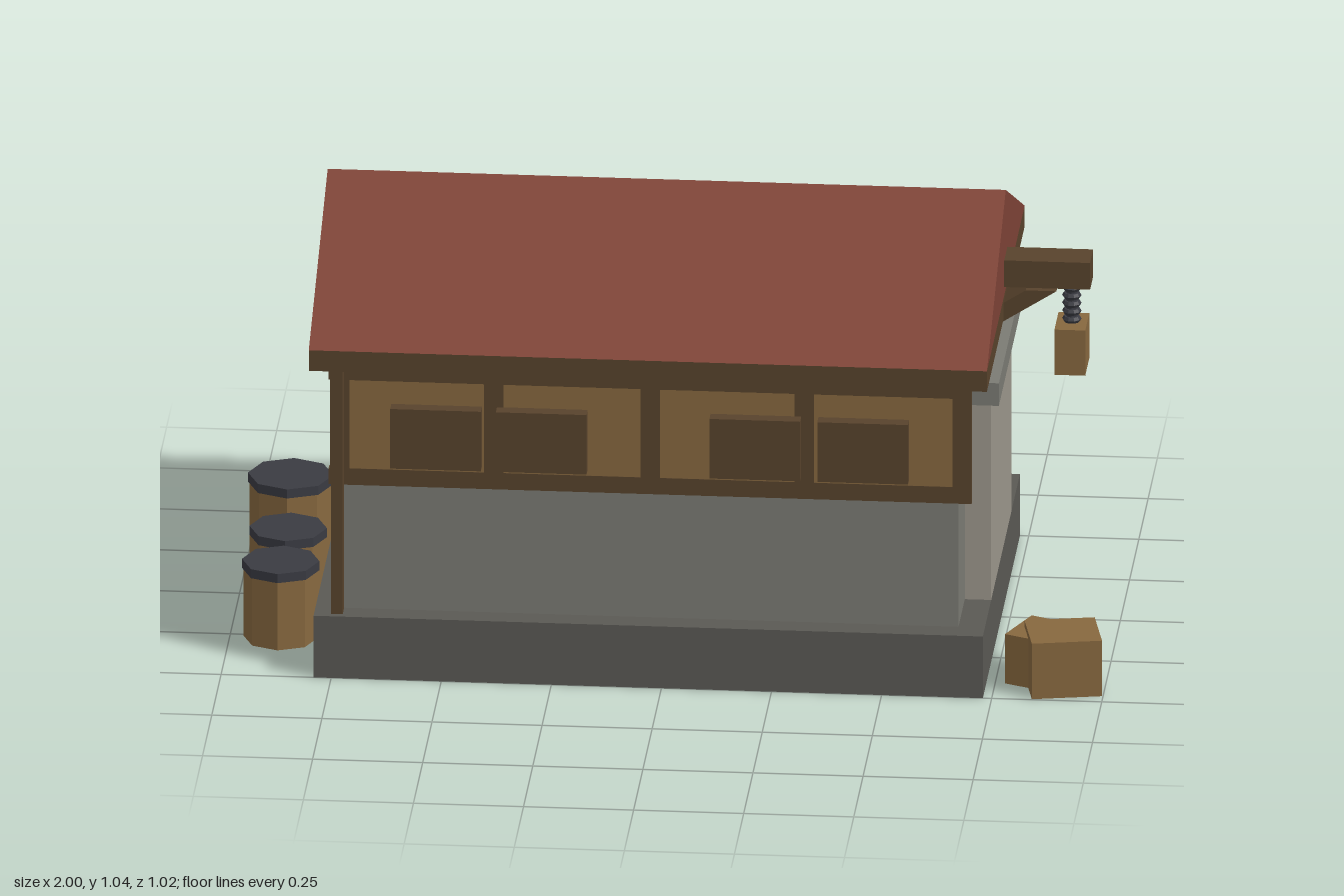
import * as THREE from 'three';

const mat = (color) => new THREE.MeshStandardMaterial({ color, flatShading: true });

export function createModel() {
  const model = new THREE.Group();
  const M = {
    base: mat(0x5a5954), stone: mat(0x7b7b74), door: mat(0x9c978c),
    plank: mat(0x87683f), timber: mat(0x58432c), roof: mat(0x7e4336), iron: mat(0x3a3b42),
  };

  const add = (name, geometry, material, parent = model) => {
    const mesh = new THREE.Mesh(geometry, material);
    mesh.name = name;
    parent.add(mesh);
    return mesh;
  };
  // Box given by its minimum and maximum on each axis
  const box = (name, material, [x0, x1], [y0, y1], [z0, z1], parent) => {
    const mesh = add(name, new THREE.BoxGeometry(x1 - x0, y1 - y0, z1 - z0), material, parent);
    mesh.position.set((x0 + x1) / 2, (y0 + y1) / 2, (z0 + z1) / 2);
    return mesh;
  };

  // Plinth and the two storeys of wall
  box('plinth', M.base, [-0.79, 0.73], [0, 0.15], [-0.5, 0.5]);
  box('lowerWall', M.stone, [-0.73, 0.67], [0.15, 0.45], [-0.445, 0.445]);
  box('upperWall', M.plank, [-0.73, 0.68], [0.45, 0.75], [-0.445, 0.445]);

  // Framing and shutters on both long sides
  for (const side of [1, -1]) {
    const frame = new THREE.Group();
    frame.name = side > 0 ? 'frontFrame' : 'backFrame';
    model.add(frame);
    const span = (a, b) => (side > 0 ? [a, b] : [-b, -a]);
    const depth = span(0.43, 0.446);
    box('bottomRail', M.timber, [-0.76, 0.7], [0.45, 0.49], depth, frame);
    box('topRail', M.timber, [-0.76, 0.7], [0.705, 0.75], depth, frame);
    for (const x of [-0.735, -0.385, -0.03, 0.32, 0.678]) {
      box('stud', M.timber, [x - 0.022, x + 0.022], [0.49, 0.705], depth, frame);
    }
    for (const x of [-0.515, -0.275, 0.21, 0.455]) {
      box('shutter', M.timber, [x - 0.103, x + 0.103], [0.505, 0.65], span(0.445, 0.477), frame);
    }
  }

  // Full-height posts at the closed end
  for (const z of [-0.458, 0, 0.458]) {
    box('endPost', M.timber, [-0.752, -0.725], [0.15, 0.75], [z - 0.027, z + 0.027]);
  }

  // Big doorway with its lintel
  box('door', M.door, [0.66, 0.73], [0.15, 0.635], [-0.275, 0.275]);
  box('lintel', M.stone, [0.66, 0.75], [0.635, 0.69], [-0.305, 0.305]);

  // Eaves slab and solid gabled roof
  box('eaves', M.timber, [-0.8, 0.74], [0.75, 0.8], [-0.51, 0.51]);
  const gable = new THREE.Shape([
    new THREE.Vector2(-0.51, 0.8), new THREE.Vector2(0.51, 0.8), new THREE.Vector2(0, 1.04),
  ]);
  const roof = add('roof', new THREE.ExtrudeGeometry(gable, { depth: 1.54, bevelEnabled: false }), M.roof);
  roof.rotation.y = Math.PI / 2;
  roof.position.x = -0.8;

  // Hoist: beam, diagonal brace, chain and hanging crate
  const hoist = new THREE.Group();
  hoist.name = 'hoist';
  model.add(hoist);
  box('hoistBeam', M.timber, [0.68, 0.935], [0.82, 0.885], [-0.042, 0.042], hoist);
  const braceShape = new THREE.Shape([
    new THREE.Vector2(0.68, 0.705), new THREE.Vector2(0.86, 0.82),
    new THREE.Vector2(0.79, 0.82), new THREE.Vector2(0.68, 0.75),
  ]);
  const brace = add('hoistBrace',
    new THREE.ExtrudeGeometry(braceShape, { depth: 0.116, bevelEnabled: false }), M.timber, hoist);
  brace.position.z = -0.058;
  const core = add('chainCore', new THREE.CylinderGeometry(0.014, 0.014, 0.1, 8), M.iron, hoist);
  core.position.set(0.89, 0.772, 0);
  for (let i = 0; i < 5; i++) {
    const link = add('chainLink', new THREE.TorusGeometry(0.014, 0.008, 6, 10), M.iron, hoist);
    link.rotation.x = Math.PI / 2;
    link.position.set(0.89, 0.733 + i * 0.019, 0);
  }
  box('hangingCrate', M.plank, [0.855, 0.925], [0.615, 0.725], [-0.054, 0.054], hoist);

  // Crates on the ground
  for (const [x, z, w, h, d, turn] of [
    [0.905, 0.41, 0.16, 0.135, 0.145, 0.2],
    [0.855, 0.37, 0.125, 0.12, 0.13, -0.4],
  ]) {
    const crate = add('crate', new THREE.BoxGeometry(w, h, d), M.plank);
    crate.position.set(x, h / 2, z);
    crate.rotation.y = turn;
  }

  // Eight-sided barrels with iron lids
  for (const [x, z, r, h] of [
    [-0.903, -0.225, 0.097, 0.205], [-0.885, 0.055, 0.088, 0.187], [-0.885, 0.258, 0.088, 0.187],
  ]) {
    const barrel = new THREE.Group();
    barrel.name = 'barrel';
    barrel.position.set(x, 0, z);
    model.add(barrel);
    add('barrelBody', new THREE.CylinderGeometry(r * 0.96, r * 0.96, h - 0.02, 8), M.plank, barrel)
      .position.y = (h - 0.02) / 2;
    add('barrelLid', new THREE.CylinderGeometry(r, r, 0.022, 8), M.iron, barrel).position.y = h - 0.011;
  }

  return model;
}
